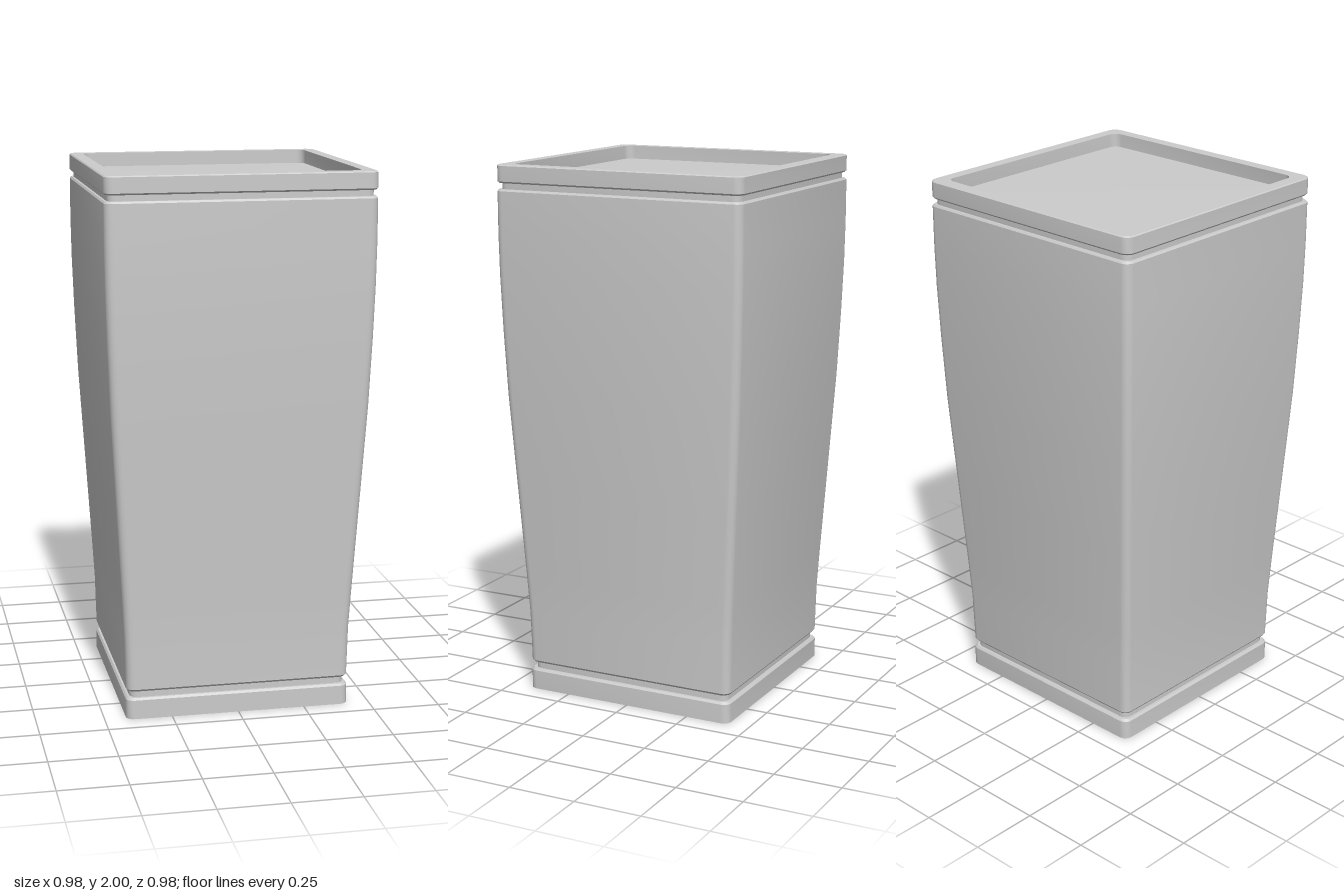
import * as THREE from 'three';
import { toCreasedNormals } from 'three/addons/utils/BufferGeometryUtils.js';

const CORNER_STEPS = 4;

// Rounded-square outline, counter-clockwise from above
function ring(half, y, radius) {
  const r = Math.min(radius, half), pts = [];
  for (let c = 0; c < 4; c++) {
    const mid = Math.PI / 4 + c * Math.PI / 2;
    const cx = Math.sign(Math.cos(mid)) * (half - r);
    const cz = -Math.sign(Math.sin(mid)) * (half - r);
    for (let s = 0; s <= CORNER_STEPS; s++) {
      const a = (c + s / CORNER_STEPS) * Math.PI / 2;
      pts.push([cx + r * Math.cos(a), y, cz - r * Math.sin(a)]);
    }
  }
  return pts;
}

// Skin a profile of [half width, height] with rounded-square rings
function loft(profile, radius) {
  const rings = profile.map(([h, y]) => ring(h, y, radius));
  const pos = [];
  for (let i = 0; i < rings.length - 1; i++) {
    const lo = rings[i], hi = rings[i + 1], n = lo.length;
    for (let j = 0; j < n; j++) {
      const k = (j + 1) % n;
      if (profile[i][0] > 0) pos.push(...lo[j], ...lo[k], ...hi[j]);
      if (profile[i + 1][0] > 0) pos.push(...lo[k], ...hi[k], ...hi[j]);
    }
  }
  const geo = new THREE.BufferGeometry();
  geo.setAttribute('position', new THREE.Float32BufferAttribute(pos, 3));
  return toCreasedNormals(geo, 0.5);
}

export function createModel() {
  const group = new THREE.Group();
  const grey = new THREE.MeshStandardMaterial({ color: 0xcccccc });
  grey.name = 'light grey';

  const add = (name, profile, radius) => {
    const mesh = new THREE.Mesh(loft(profile, radius), grey);
    mesh.name = name;
    group.add(mesh);
  };

  // Foot plinth with a bevelled top edge
  add('base', [[0, 0], [0.42, 0], [0.42, 0.072], [0.414, 0.08], [0.403, 0.08]], 0.03);
  // Recessed band between plinth and body
  add('lowerGroove', [[0.405, 0.078], [0.405, 0.112]], 0.03);
  // Tapering, gently curved body
  add('body', [
    [0.403, 0.105], [0.413, 0.105], [0.419, 0.113], [0.423, 0.3], [0.431, 0.45],
    [0.451, 0.8], [0.471, 1.15], [0.481, 1.4], [0.487, 1.6],
    [0.489, 1.75], [0.489, 1.905], [0.484, 1.912], [0.473, 1.912],
  ], 0.03);
  // Recessed band below the rim
  add('upperGroove', [[0.476, 1.908], [0.476, 1.94]], 0.03);
  // Rim with an inner wall
  add('rim', [
    [0.473, 1.934], [0.484, 1.934], [0.489, 1.94], [0.489, 1.996], [0.485, 2],
    [0.44, 2], [0.44, 1.945],
  ], 0.032);
  // Sunken, faintly domed floor
  add('floor', [[0.441, 1.949], [0.3, 1.95], [0.15, 1.952], [0, 1.952]], 0.03);

  return group;
}
